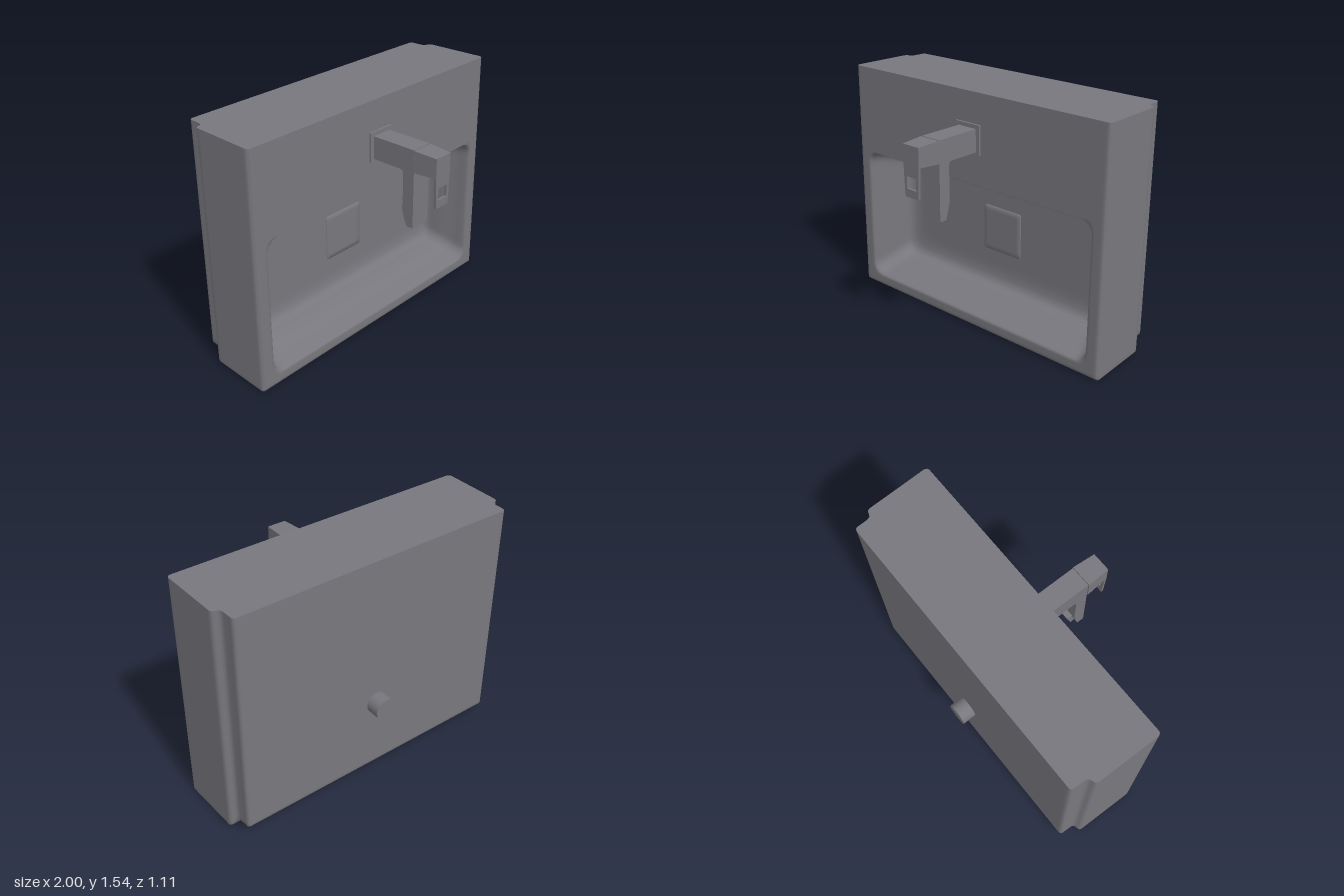
import * as THREE from 'three';
import { toCreasedNormals } from 'three/addons/utils/BufferGeometryUtils.js';

const TOP = 1.537;
const FRONT = 0.084;
const SEG = 6; // steps per rounded corner
const HOLD = 0.03; // extra points beside each corner keep the straight sides flat

// Rounded rectangle, counter-clockwise seen from the front
function ring([hx, y0, y1, r, z, rTop = r]) {
  const pts = [];
  const corners = [[1, y0 + r, r, -0.5], [1, y1 - rTop, rTop, 0], [-1, y1 - rTop, rTop, 0.5], [-1, y0 + r, r, 1]];
  for (const [side, cy, rad, start] of corners) {
    for (let i = -1; i <= SEG + 1; i++) {
      const a = (start + (0.5 * Math.min(Math.max(i, 0), SEG)) / SEG) * Math.PI;
      const h = i < 0 ? -HOLD : i > SEG ? HOLD : 0;
      const c = Math.cos(a), s = Math.sin(a);
      pts.push([side * (hx - rad) + rad * c - h * s, cy + rad * s + h * c, z]);
    }
  }
  return pts;
}

// Skin through the sections, back to front, closed by flat caps
function loft(sections) {
  const rings = sections.map(ring);
  const n = rings[0].length;
  const pos = rings.flat(2);
  const index = [];
  rings.slice(1).forEach((_, k) => {
    for (let i = 0; i < n; i++) {
      const a = k * n + i, b = k * n + ((i + 1) % n);
      index.push(a, b, b + n, a, b + n, a + n);
    }
  });
  const capCentre = (s) => [0, (s[1] + s[2]) / 2, s[4]];
  const c0 = pos.length / 3;
  pos.push(...capCentre(sections[0]), ...capCentre(sections[sections.length - 1]));
  const last = (rings.length - 1) * n;
  for (let i = 0; i < n; i++) {
    const j = (i + 1) % n;
    index.push(c0, j, i, c0 + 1, last + i, last + j);
  }
  const g = new THREE.BufferGeometry();
  g.setAttribute('position', new THREE.Float32BufferAttribute(pos, 3));
  g.setIndex(index);
  return toCreasedNormals(g, 0.8);
}

// Side profile of [z, y] points, extruded across x
function sideExtrude(shape, width) {
  const g = new THREE.ExtrudeGeometry(shape, { depth: width, bevelEnabled: false, curveSegments: 6 });
  g.translate(0, 0, -width / 2);
  g.rotateY(-Math.PI / 2);
  return g;
}

export function createModel() {
  const model = new THREE.Group();
  model.name = 'washbasin';
  const grey = new THREE.MeshStandardMaterial({ color: 0x77777d });
  grey.name = 'ceramic grey';

  const add = (name, geometry, parent = model) => {
    const mesh = new THREE.Mesh(geometry, grey);
    mesh.name = name;
    parent.add(mesh);
    return mesh;
  };

  // Stepped block: half width, bottom and depth of each section, with a flat top
  const block = [
    [0.9, 0.1, -0.463],
    [0.917, 0.085, -0.463],
    [0.927, 0.075, -0.46],
    [0.934, 0.069, -0.453],
    [0.937, 0.066, -0.442],
    [0.937, 0.066, -0.43],
    [0.939, 0.063, -0.38],
    [0.941, 0.061, -0.368],
    [0.947, 0.055, -0.356],
    [0.959, 0.044, -0.349],
    [0.974, 0.028, -0.345],
    [0.984, 0.018, -0.338],
    [0.989, 0.012, -0.326],
    [0.9895, 0.0115, -0.312],
    [0.9995, 0.001, 0.04],
    [1.0, 0.0, 0.056],
    [0.998, 0.002, 0.07],
    [0.991, 0.009, 0.08],
    [0.98, 0.02, FRONT],
  ].map(([hx, y0, z]) => [hx, y0, TOP, 0.01, z, 0]);

  // Front rim and bowl: half width, bottom, top, corner radius, depth
  const bowl = [
    [0.966, 0.034, TOP - 0.014, 0.02, FRONT],
    [0.93, 0.062, 0.985, 0.08, FRONT],
    [0.916, 0.074, 0.969, 0.08, FRONT],
    [0.91, 0.08, 0.966, 0.08, 0.079],
    [0.904, 0.086, 0.963, 0.08, 0.066],
    [0.899, 0.094, 0.96, 0.08, 0.03],
    [0.885, 0.112, 0.952, 0.08, -0.02],
    [0.862, 0.142, 0.939, 0.08, -0.08],
    [0.85, 0.16, 0.927, 0.08, -0.125],
    [0.844, 0.168, 0.915, 0.08, -0.16],
    [0.838, 0.174, 0.902, 0.08, -0.19],
    [0.822, 0.19, 0.884, 0.08, -0.21],
    [0.79, 0.222, 0.858, 0.08, -0.222],
    [0.74, 0.272, 0.82, 0.08, -0.228],
    [0.7, 0.312, 0.79, 0.08, -0.228],
  ];
  add('basin', loft([...block, ...bowl]));

  add('drainCover', loft([
    [0.153, 0.401, 0.706, 0.018, -0.235],
    [0.153, 0.401, 0.706, 0.018, -0.223],
    [0.151, 0.403, 0.704, 0.016, -0.221],
    [0.12, 0.433, 0.674, 0.016, -0.221],
  ]));

  // Waste pipe on the back
  add('wastePipe', new THREE.CylinderGeometry(0.071, 0.071, 0.1, 40)
    .rotateX(Math.PI / 2).translate(0, 0.551, -0.503));

  const tap = new THREE.Group();
  tap.name = 'tap';
  model.add(tap);

  add('wallPlate', new THREE.BoxGeometry(0.186, 0.186, 0.018).translate(0, 1.253, 0.089), tap);

  // Arm and downward spout
  const spout = new THREE.Shape();
  spout.moveTo(0.09, 1.178);
  spout.lineTo(0.09, 1.321);
  spout.lineTo(0.4, 1.321);
  spout.lineTo(0.4, 0.825);
  spout.lineTo(0.352, 0.825);
  spout.lineTo(0.322, 0.945);
  spout.lineTo(0.322, 1.155);
  spout.quadraticCurveTo(0.322, 1.178, 0.298, 1.178);
  add('spout', sideExtrude(spout, 0.136), tap);

  // Tilted outlet under the spout
  const outlet = add('outlet', new THREE.BoxGeometry(0.085, 0.1, 0.035), tap);
  outlet.position.set(0, 0.885, 0.323);
  outlet.rotation.x = -0.27;
  const nozzle = add('outletNozzle', new THREE.BoxGeometry(0.06, 0.075, 0.012), tap);
  nozzle.position.set(0, 0.888, 0.306);
  nozzle.rotation.x = -0.27;

  // Handle block, narrowing to the front
  const head = new THREE.Shape([[0.555, 1.19], [0.555, 1.312], [0.404, 1.319], [0.404, 1.184]]
    .map(([z, y]) => new THREE.Vector2(z, y)));
  const headGeo = sideExtrude(head, 0.144);
  const p = headGeo.attributes.position;
  for (let i = 0; i < p.count; i++) {
    if (p.getZ(i) > 0.5) p.setX(i, p.getX(i) * 0.86);
  }
  headGeo.computeVertexNormals();
  add('handleBlock', headGeo, tap);

  // Thin hanging lever with a square opening
  const lever = new THREE.Shape([[-0.053, 1.0], [0.053, 1.0], [0.062, 1.2], [-0.062, 1.2]]
    .map(([x, y]) => new THREE.Vector2(x, y)));
  lever.holes.push(new THREE.Path([[-0.037, 1.05], [-0.037, 1.124], [0.037, 1.124], [0.037, 1.05]]
    .map(([x, y]) => new THREE.Vector2(x, y))));
  add('handleLever', new THREE.ExtrudeGeometry(lever, { depth: 0.014, bevelEnabled: false })
    .translate(0, 0, 0.541), tap);

  return model;
}
